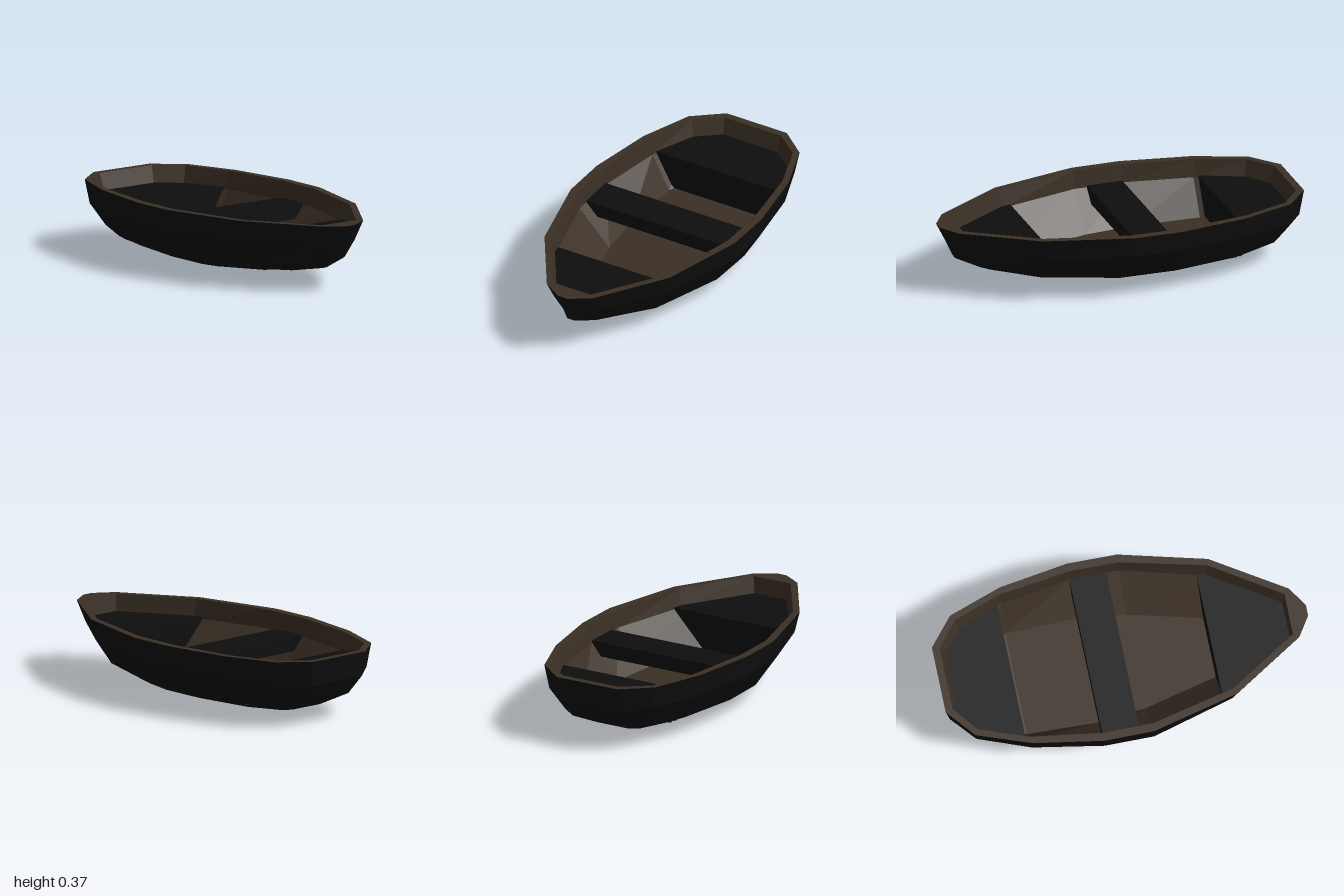
import * as THREE from 'three';

// Half outlines run stern to bow on the left-hand (+z) side as [x, z, y].
const ring = (y, pts) => pts.map(([x, z, py]) => [x, py ?? y, z]);
const mirror = ([x, y, z]) => [x, y, -z];

// Faceted skin through mirrored rings; caps close the first ring upward and the last downward.
function loft(rings, capFirst, capLast) {
  const out = [];
  const quad = (a, b, c, d) => out.push(...a, ...b, ...c, ...a, ...c, ...d);
  const loops = rings.map(r => [...r, ...r.map(mirror).reverse()]);
  for (let k = 0; k + 1 < loops.length; k++) {
    const a = loops[k], b = loops[k + 1], n = a.length;
    for (let i = 0; i < n; i++) {
      const j = (i + 1) % n;
      quad(b[i], b[j], a[j], a[i]);
    }
  }
  const cap = (r, up) => {
    for (let i = 0; i + 1 < r.length; i++) {
      const p = r[i], q = r[i + 1];
      if (up) quad(p, q, mirror(q), mirror(p));
      else quad(p, mirror(p), mirror(q), q);
    }
  };
  if (capFirst) cap(rings[0], true);
  if (capLast) cap(rings[rings.length - 1], false);
  const g = new THREE.BufferGeometry();
  g.setAttribute('position', new THREE.Float32BufferAttribute(out, 3));
  g.computeVertexNormals();
  return g;
}

export function createModel() {
  const boat = new THREE.Group();
  boat.name = 'rowingBoat';
  const tarred = new THREE.MeshStandardMaterial({ color: 0x0e0e0e });
  tarred.name = 'tarred black';
  const wood = new THREE.MeshStandardMaterial({ color: 0x3a2f24 });
  wood.name = 'dark brown wood';
  const add = (name, geometry, material) => {
    const m = new THREE.Mesh(geometry, material);
    m.name = name;
    boat.add(m);
    return m;
  };

  // Outer hull, from the gunwale down to the keel
  const gunwale = ring(0.37, [[-1, 0.187], [-0.87, 0.345], [-0.58, 0.45], [-0.2, 0.512],
    [0.07, 0.51], [0.54, 0.39], [0.93, 0.14], [1, 0.03]]);
  const topside = ring(0.26, [[-0.975, 0.18, 0.23], [-0.86, 0.32, 0.24], [-0.58, 0.43, 0.25], [-0.2, 0.5],
    [0.07, 0.5], [0.52, 0.37], [0.87, 0.13], [0.945, 0.03]]);
  const bilge = ring(0.105, [[-0.915, 0.14, 0.135], [-0.81, 0.25, 0.12], [-0.56, 0.35, 0.11], [-0.2, 0.405],
    [0.07, 0.4], [0.5, 0.28, 0.12], [0.82, 0.1, 0.16], [0.91, 0.025, 0.18]]);
  const garboard = ring(0.05, [[-0.735, 0.1], [-0.7, 0.15], [-0.53, 0.23], [-0.2, 0.28],
    [0.07, 0.28], [0.48, 0.18, 0.07], [0.72, 0.06, 0.1], [0.77, 0.015, 0.105]]);
  const keel = ring(0, [[-0.38, 0.04, 0.005], [-0.36, 0.06, 0.005], [-0.3, 0.09, 0.003], [-0.2, 0.1],
    [-0.03, 0.1], [0.25, 0.06, 0.025], [0.46, 0.02, 0.047], [0.5, 0.01, 0.05]]);
  add('hull', loft([gunwale, topside, bilge, garboard, keel], false, true), tarred);

  // Inner lining with its floor, and the flat rim joining it to the hull
  const lip = ring(0.37, [[-0.96, 0.175], [-0.85, 0.315], [-0.59, 0.41], [-0.2, 0.467],
    [0.07, 0.465], [0.53, 0.355], [0.9, 0.115], [0.9, 0.04]]);
  const liner = ring(0.27, [[-0.93, 0.165], [-0.83, 0.29], [-0.58, 0.395], [-0.2, 0.455],
    [0.07, 0.455], [0.52, 0.335], [0.885, 0.1], [0.885, 0.04]]);
  const floor = ring(0.08, [[-0.85, 0.1, 0.13], [-0.78, 0.18, 0.12], [-0.58, 0.29], [-0.2, 0.3],
    [0.07, 0.27], [0.47, 0.17], [0.75, 0.06, 0.13], [0.76, 0.02, 0.13]]);
  add('lining', loft([floor, liner, lip], true, false), wood);
  add('rim', loft([lip, gunwale], false, false), wood);

  // Solid end seats, narrowing down to the floor
  add('sternSeat', loft([
    ring(0.28, [[-0.933, 0.166], [-0.832, 0.292], [-0.605, 0.39]]),
    ring(0.22, [[-0.91, 0.15], [-0.81, 0.26], [-0.605, 0.37]]),
    ring(0.08, [[-0.85, 0.1, 0.13], [-0.78, 0.18, 0.12], [-0.605, 0.285]]),
  ], true, true), tarred);
  add('bowSeat', loft([
    ring(0.28, [[0.47, 0.352], [0.52, 0.337], [0.886, 0.102]]),
    ring(0.22, [[0.47, 0.31], [0.52, 0.29], [0.85, 0.09]]),
    ring(0.08, [[0.47, 0.17], [0.52, 0.155, 0.09], [0.75, 0.06, 0.13]]),
  ], true, true), tarred);

  // Middle bench
  add('middleBench', new THREE.BoxGeometry(0.2, 0.08, 0.91), tarred).position.set(-0.1, 0.24, 0);
  return boat;
}
